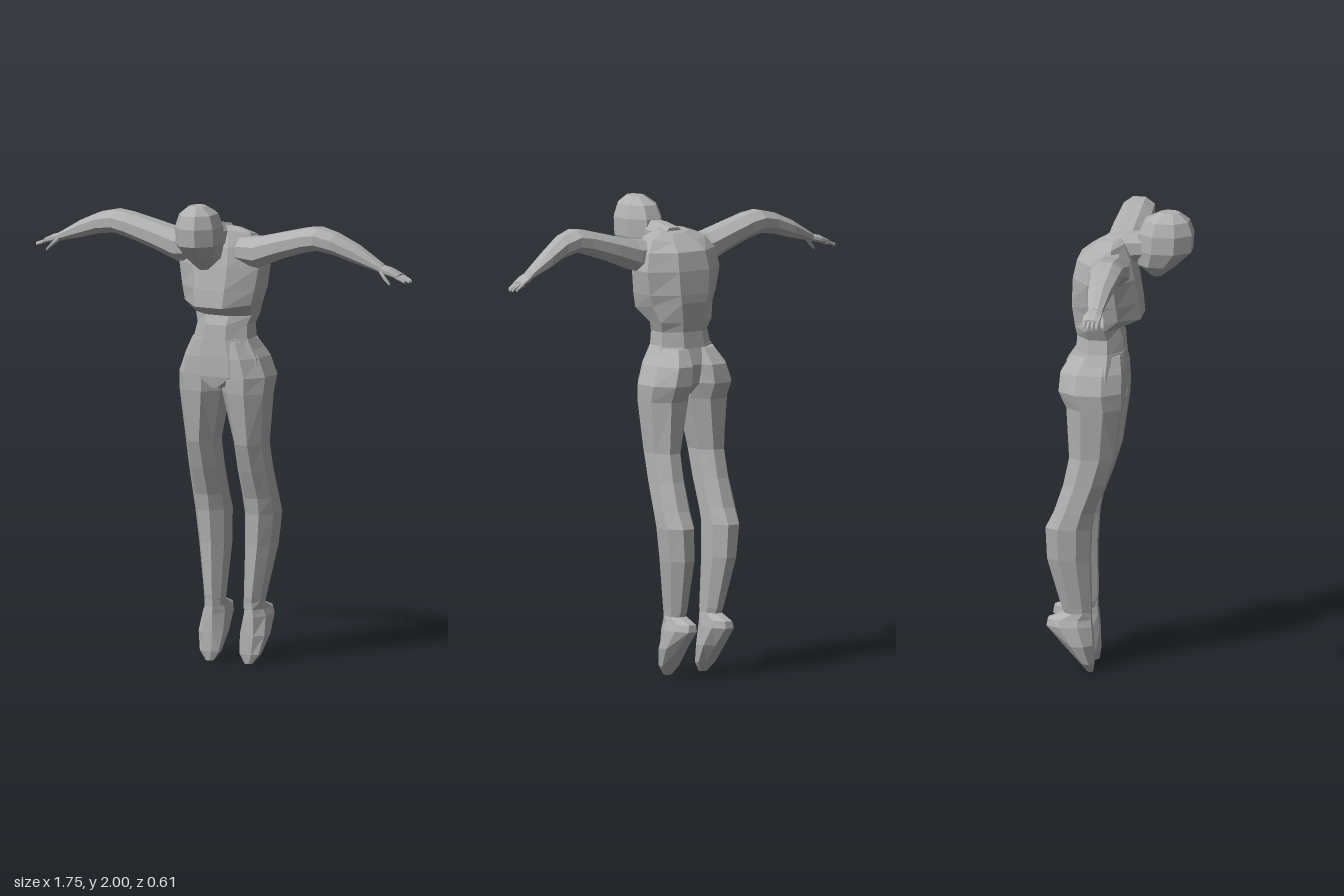
import * as THREE from 'three';

const SIDES = 8;
const skin = new THREE.MeshStandardMaterial({ color: 0xb0b0b0, flatShading: true });
skin.name = 'plain grey';

// Octagonal ring across one axis, filling the box u0..u1 by v0..v1.
// u, v are (x, z) for axis y, (y, z) for axis x and (x, y) for axis z.
// tilt moves the +v side along the axis.
function ring(axis, [at, u0, u1, v0, v1, tilt = 0]) {
  const pts = [];
  const k = 1 / Math.cos(Math.PI / SIDES);
  for (let i = 0; i < SIDES; i++) {
    const a = ((i + 0.5) / SIDES) * Math.PI * 2;
    const c = Math.cos(a) * k, s = Math.sin(a) * k;
    const u = (u0 + u1) / 2 + ((u1 - u0) / 2) * c;
    const v = (v0 + v1) / 2 + ((v1 - v0) / 2) * s;
    const w = at + tilt * s;
    pts.push(axis === 'y' ? [u, w, v] : axis === 'x' ? [w, u, v] : [u, v, w]);
  }
  return pts;
}

// Closed skin through a row of rings, turned outwards by its signed volume
function loft(name, axis, sections) {
  const rings = sections.map((s) => ring(axis, s));
  const tris = [];
  for (let r = 0; r < rings.length - 1; r++) {
    for (let i = 0; i < SIDES; i++) {
      const j = (i + 1) % SIDES;
      const a = rings[r][i], b = rings[r][j], c = rings[r + 1][i], d = rings[r + 1][j];
      tris.push([a, c, b], [b, c, d]);
    }
  }
  const last = rings[rings.length - 1];
  for (let i = 1; i < SIDES - 1; i++) {
    tris.push([rings[0][0], rings[0][i], rings[0][i + 1]], [last[0], last[i + 1], last[i]]);
  }
  let volume = 0;
  const [A, B, C] = [new THREE.Vector3(), new THREE.Vector3(), new THREE.Vector3()];
  for (const [a, b, c] of tris) {
    volume += A.fromArray(a).dot(B.fromArray(b).cross(C.fromArray(c)));
  }
  if (volume < 0) tris.forEach((t) => t.reverse());
  const geo = new THREE.BufferGeometry();
  geo.setAttribute('position', new THREE.Float32BufferAttribute(tris.flat(2), 3));
  geo.computeVertexNormals();
  const mesh = new THREE.Mesh(geo, skin);
  mesh.name = name;
  return mesh;
}

// Leg with foot: [y, inner x, outer x, back z, front z]
function makeLeg(side, name) {
  const mid = -0.015;
  const place = ([y, i, o, b, f, t]) => [y, mid + side * i, mid + side * o, b, f, t];
  const leg = new THREE.Group();
  leg.name = name;
  leg.add(loft('legLimb', 'y', [
    [0.23, 0.055, 0.13, -0.21, -0.115],
    [0.28, 0.055, 0.135, -0.235, -0.11],
    [0.5, 0.05, 0.17, -0.295, -0.115],
    [0.64, 0.05, 0.187, -0.3, -0.108],
    [0.71, 0.05, 0.188, -0.265, -0.095],
    [0.83, 0.05, 0.183, -0.225, -0.05],
    [0.95, 0.05, 0.18, -0.2, -0.012],
    [1.17, 0.004, 0.2, -0.212, 0.02],
    [1.24, 0, 0.205, -0.245, 0.022],
    [1.32, 0, 0.175, -0.24, 0.02],
    [1.39, 0.005, 0.13, -0.195, 0.01],
  ].map(place)));
  leg.add(loft('foot', 'y', [
    [0, 0.075, 0.11, -0.13, -0.105],
    [0.04, 0.05, 0.14, -0.16, -0.1],
    [0.12, 0.04, 0.157, -0.228, -0.102],
    [0.2, 0.045, 0.15, -0.3, -0.108],
    [0.23, 0.05, 0.14, -0.295, -0.112],
    [0.26, 0.055, 0.132, -0.215, -0.112],
  ].map(place)));
  return leg;
}

// Arm with hand: [x, bottom y, top y, back z, front z]; drop and sweep bend the forearm
function makeArm(side, name, drop, sweep) {
  const place = ([x, y0, y1, z0, z1, t = 0]) => {
    const d = Math.max(0, x - 0.5);
    return [side * x, y0 - d * drop, y1 - d * drop, z0 - d * sweep, z1 - d * sweep, side * t];
  };
  const arm = new THREE.Group();
  arm.name = name;
  arm.add(loft('armLimb', 'x', [
    [0.1, 1.73, 1.84, -0.09, 0.045],
    [0.19, 1.72, 1.85, -0.09, 0.062],
    [0.3, 1.765, 1.878, -0.08, 0.068],
    [0.42, 1.805, 1.908, -0.065, 0.072],
    [0.485, 1.82, 1.916, -0.06, 0.072],
    [0.56, 1.81, 1.9, -0.05, 0.064],
    [0.65, 1.785, 1.86, -0.048, 0.045],
    [0.76, 1.76, 1.795, -0.03, 0.028],
  ].map(place)));
  arm.add(loft('palm', 'x', [
    [0.75, 1.762, 1.795, -0.03, 0.028],
    [0.79, 1.752, 1.785, -0.045, 0.03],
    [0.83, 1.745, 1.765, -0.045, 0.026],
  ].map(place)));
  for (let i = 0; i < 4; i++) {
    const z = -0.036 + i * 0.018;
    const tip = i === 0 || i === 3 ? 0.862 : 0.873;
    arm.add(loft('finger', 'x', [
      [0.82, 1.747, 1.764, z - 0.008, z + 0.008],
      [tip, 1.732, 1.744, z - 0.006, z + 0.006],
    ].map(place)));
  }
  arm.add(loft('thumb', 'x', [
    [0.755, 1.76, 1.78, 0.01, 0.03],
    [0.78, 1.737, 1.757, 0.024, 0.042],
    [0.805, 1.716, 1.728, 0.03, 0.042],
  ].map(place)));
  return arm;
}

export function createModel() {
  const model = new THREE.Group();
  model.name = 'divingFigure';

  // Torso, with the chest overhanging the waist
  model.add(loft('torso', 'y', [
    [1.38, -0.145, 0.115, -0.185, 0.02],
    [1.46, -0.125, 0.11, -0.18, 0.015],
    [1.5, -0.14, 0.125, -0.188, 0.0],
    [1.565, -0.16, 0.155, -0.2, 0.093, -0.02],
    [1.62, -0.175, 0.17, -0.2, 0.085],
    [1.72, -0.195, 0.185, -0.195, 0.068],
    [1.8, -0.175, 0.17, -0.178, 0.05],
    [1.855, -0.14, 0.135, -0.13, 0.02, 0.015],
    [1.88, -0.07, 0.07, -0.09, 0.0, 0.01],
  ]));

  // Hips
  model.add(loft('hips', 'y', [
    [1.19, -0.045, 0.015, -0.15, 0.015],
    [1.24, -0.2, 0.17, -0.19, 0.024],
    [1.32, -0.185, 0.155, -0.2, 0.024],
    [1.4, -0.145, 0.115, -0.182, 0.02],
  ]));

  // Neck, reaching forward
  model.add(loft('neck', 'z', [
    [-0.06, -0.055, 0.06, 1.77, 1.89],
    [0.02, -0.048, 0.052, 1.78, 1.905],
    [0.14, -0.045, 0.05, 1.79, 1.91],
  ]));

  // Head, chin tucked in
  model.add(loft('head', 'y', [
    [1.72, -0.012, 0.026, 0.13, 0.17],
    [1.77, -0.06, 0.074, 0.075, 0.232],
    [1.835, -0.083, 0.097, 0.07, 0.3],
    [1.91, -0.083, 0.097, 0.075, 0.305],
    [1.965, -0.065, 0.08, 0.1, 0.287],
    [2.0, -0.025, 0.04, 0.165, 0.245],
  ]));

  model.add(makeLeg(1, 'leftLeg'), makeLeg(-1, 'rightLeg'));
  model.add(makeArm(1, 'leftArm', 0.1, 0.19), makeArm(-1, 'rightArm', 0, 0));
  return model;
}
